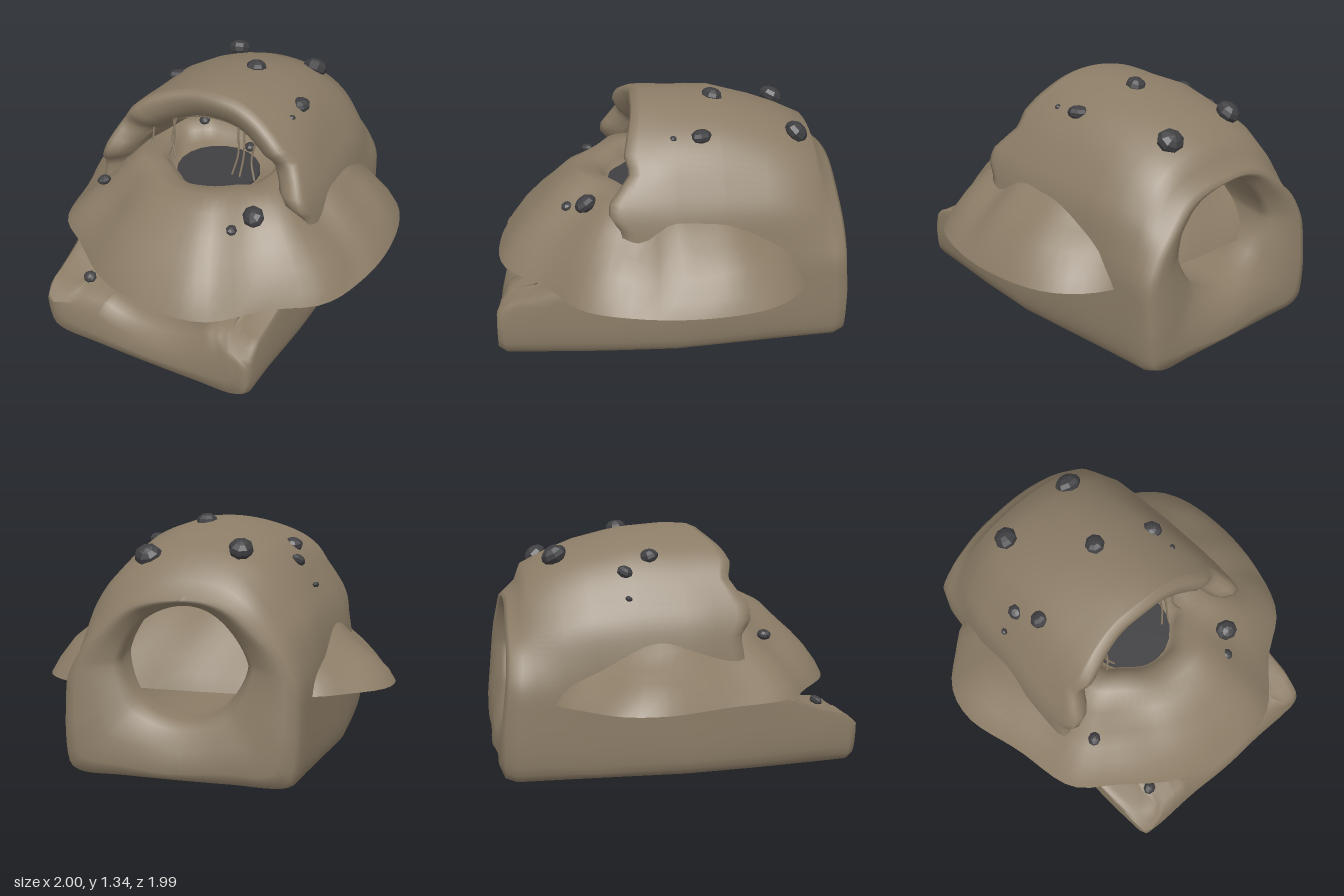
import * as THREE from 'three';

const V = (x, y, z = 0) => new THREE.Vector3(x, y, z);
const { lerp, clamp, smoothstep } = THREE.MathUtils;
const lump = (x, y, z) => Math.sin(7 * x + 3 * z + 1) * Math.sin(6 * y + 5 * z) * Math.cos(4 * x - 6 * z);

// Piecewise-linear lookup in a list of [key, value] pairs
function lookup(t, table) {
  if (t <= table[0][0]) return table[0][1];
  for (let i = 1; i < table.length; i++) {
    const [a, va] = table[i - 1], [b, vb] = table[i];
    if (t <= b) return lerp(va, vb, (t - a) / (b - a));
  }
  return table[table.length - 1][1];
}

// Smooth surface over a grid, wrapped in i and optionally in j
function loft(ni, nj, wrapJ, point) {
  const pos = [], idx = [];
  for (let i = 0; i < ni; i++) for (let j = 0; j < nj; j++) pos.push(...point(i, j).toArray());
  for (let i = 0; i < ni; i++) {
    for (let j = 0; j < (wrapJ ? nj : nj - 1); j++) {
      const i2 = (i + 1) % ni, j2 = (j + 1) % nj;
      const a = i * nj + j, b = i2 * nj + j, c = i2 * nj + j2, d = i * nj + j2;
      idx.push(a, b, c, a, c, d);
    }
  }
  const g = new THREE.BufferGeometry();
  g.setAttribute('position', new THREE.Float32BufferAttribute(pos, 3));
  g.setIndex(idx);
  g.computeVertexNormals();
  return g;
}

// Arched tunnel: outer wall, front lip, inner bore and rear opening in one closed skin
function tunnelGeometry() {
  const half = [[0.35, 0], [0.6, 0], [0.67, 0.03], [0.695, 0.1], [0.7, 0.4], [0.685, 0.65], [0.65, 0.84],
    [0.585, 0.97], [0.485, 1.11], [0.37, 1.21], [0.2, 1.285]];
  const loop = [V(0, 0), ...half.map(p => V(...p)), V(0, 1.31), ...half.slice().reverse().map(([x, y]) => V(-x, y))];
  const outline = new THREE.CatmullRomCurve3(loop, true, 'centripetal').getSpacedPoints(120);
  // Where the front edge lies at each height: long floor, set-back hood
  const frontZ = [[0.2, 0.99], [0.3, 0.97], [0.37, 0.86], [0.43, 0.55], [0.55, 0.33], [0.75, 0.3],
    [0.83, 0.36], [0.9, 0.36], [0.98, 0.3], [1.05, 0.25], [1.13, 0.28], [1.2, 0.26], [1.3, 0.21]];
  const roofScale = [[-0.97, 0.55], [-0.93, 0.6], [-0.88, 0.66], [-0.8, 0.75], [-0.65, 0.84], [-0.5, 0.91], [-0.25, 0.99], [0, 1]];
  const widthScale = [[-0.98, 0.89], [-0.75, 0.91], [-0.4, 0.95], [0, 1], [0.3, 0.99], [0.6, 0.94], [0.95, 0.92]];
  // Height limit of the open floor in front of the hood
  const floorTop = [[0.4, 1.4], [0.45, 0.6], [0.55, 0.43], [0.75, 0.375], [0.9, 0.36], [0.99, 0.28]];
  // Each station: z from the back, or a function of the front edge; t blends outer wall to bore
  const stations = [
    [-0.92, 0.88], [-0.965, 0.55], [-0.98, 0.22], [-0.96, 0.05], [-0.9, 0], [-0.8, 0], [-0.65, 0], [-0.5, 0], [-0.25, 0], [0, 0],
    [f => f * 0.4, 0], [f => f * 0.75, 0], [f => f - 0.05, 0.01], [f => f - 0.01, 0.08], [f => f, 0.3],
    [f => f - 0.02, 0.65], [f => f - 0.07, 0.92], [f => f - 0.14, 1], [f => f * 0.6, 1], [f => f * 0.4, 1],
    [0, 1], [-0.25, 1], [-0.5, 1], [-0.7, 1], [-0.85, 1]
  ];
  return loft(120, stations.length, true, (i, j) => {
    const o = outline[i], [s, t] = stations[j];
    const f = lookup(o.y, frontZ);
    let z = typeof s === 'function' ? s(f) : s;
    const k = lookup(z, roofScale);
    const oy = o.y > 0.5 ? 0.5 + (o.y - 0.5) * k : o.y;
    const shoulder = 0.16 * smoothstep(-z, 0.6, 0.95) * smoothstep(oy, 0.45, 0.85);
    const ox = o.x * lookup(z, widthScale) * (1 - shoulder);
    const b = clamp((0.25 - z) / 1.1, 0, 1);
    const ang = Math.atan2(o.y - 0.6, o.x);
    const ix = Math.cos(ang) * lerp(0.51, 0.34, b) * (1 - 0.15 * b * Math.abs(Math.sin(ang)));
    const iy = lerp(0.7, 0.595, b) + Math.sin(ang) * lerp(0.45, 0.3, b);
    const x = lerp(ox, ix, t);
    let y = lerp(oy, iy, t);
    const slump = 0.03 - 0.03 * clamp(x * 3, -1, 1);
    y = Math.min(y, lookup(z, floorTop) - slump);
    if (z < -0.85) z += 0.09 * Math.max(0, y - 0.25);
    const n = 0.012 * lump(x, y, z) * (y > 0.05 ? 1 : 0);
    return V(x + n * Math.sign(x), y + n, z + (s === 0 ? 0 : n));
  });
}

// Open shell of earth with a shallow hollow on top, lower on its right flank
function moundGeometry() {
  const edge = [[0, 0.98], [0.35, 0.95], [0.62, 0.7], [0.86, 0.52], [0.97, 0.22], [1, -0.1], [0.95, -0.42], [0.85, -0.59], [0.66, -0.71],
    [0.3, -0.74], [-0.3, -0.74], [-0.65, -0.7], [-0.8, -0.58], [-0.96, -0.41], [-1, -0.2], [-0.9, 0.15], [-0.8, 0.52], [-0.6, 0.68], [-0.3, 0.9]];
  const rim = new THREE.CatmullRomCurve3(edge.map(([x, z]) => V(x, 0, z)), true, 'centripetal').getSpacedPoints(80);
  const profile = [[1, 0.43], [0.96, 0.5], [0.88, 0.6], [0.79, 0.685], [0.7, 0.755],
    [0.6, 0.84], [0.49, 0.885], [0.38, 0.88], [0.32, 0.83], [0.28, 0.77], [0, 0.76]];
  return loft(80, profile.length, false, (i, j) => {
    const [s, h] = profile[j], cz = 0.07;
    const x = rim[i].x * s, z = cz + (rim[i].z - cz) * s;
    const n = s < 1 && s > 0 ? 0.02 * lump(x * 1.3, h, z * 1.2) : 0;
    const flank = s > 0.5 ? Math.sin((s - 0.5) * 2 * Math.PI) : 0;
    const gully = 0.06 * Math.exp(-(((z - 0.18) / 0.1) ** 2)) * Math.max(0, rim[i].x);
    return V(x, h + n - flank * (0.07 * Math.max(0, -rim[i].x) + gully), z);
  });
}

export function createModel() {
  const group = new THREE.Group();
  const earth = new THREE.MeshStandardMaterial({ color: 0x8b7c66, side: THREE.DoubleSide });
  earth.name = 'earth brown';
  const slate = new THREE.MeshStandardMaterial({ color: 0x3f3f42, flatShading: true });
  slate.name = 'slate grey';
  const add = (name, geo, mat) => {
    const m = new THREE.Mesh(geo, mat);
    m.name = name;
    group.add(m);
    return m;
  };

  add('tunnel', tunnelGeometry(), earth);
  add('mound', moundGeometry(), earth);

  // Dark floor of the hollow
  add('hollowFloor', new THREE.CylinderGeometry(0.24, 0.24, 0.02, 20), slate).position.set(0, 0.78, 0.1);

  // Embedded stones: x, y, z, radius
  const stones = [
    [-0.25, 1.17, -0.65, 0.066], [0.24, 1.13, -0.7, 0.07], [0.06, 1.295, -0.25, 0.056], [0.385, 1.18, -0.15, 0.055],
    [-0.41, 1.165, -0.16, 0.052], [-0.47, 1.09, -0.3, 0.042], [0.4, 1.18, 0, 0.02], [-0.57, 0.96, -0.3, 0.018],
    [0.41, 0.825, 0.48, 0.06], [-0.56, 0.74, 0.45, 0.036], [0.33, 0.775, 0.58, 0.032],
    [-0.45, 0.325, 0.81, 0.036], [-0.33, 0.35, 0.5, 0.034], [0.28, 0.35, 0.4, 0.03], [-0.44, 0.44, 0.3, 0.03],
    [0.15, 0.92, 0.0, 0.03], [-0.2, 0.95, -0.1, 0.03]
  ];
  const stoneGeo = new THREE.SphereGeometry(1, 8, 6);
  stones.forEach(([x, y, z, r], i) => {
    const m = add('stone', stoneGeo, slate);
    m.position.set(x, y, z);
    m.scale.set(r, r * 0.75, r * 1.1);
    m.rotation.set(y > 1.1 ? z * 0.8 : 0.3, i * 1.3, -x * 0.8);
  });

  // Fine roots hanging under the hood lip
  [[-0.38, 0.98], [-0.25, 1.06], [-0.23, 1.06], [0.16, 1.1], [0.2, 1.08], [0.27, 1.05]].forEach(([x, top], i) => {
    const sway = 0.02 * Math.sin(i * 2.3);
    const path = new THREE.CatmullRomCurve3([V(x, top + 0.04, 0.17), V(x + sway, (top + 0.87) / 2, 0.19), V(x - sway, 0.86, 0.22)]);
    add('root', new THREE.TubeGeometry(path, 8, 0.006, 5), earth);
  });

  return group;
}
